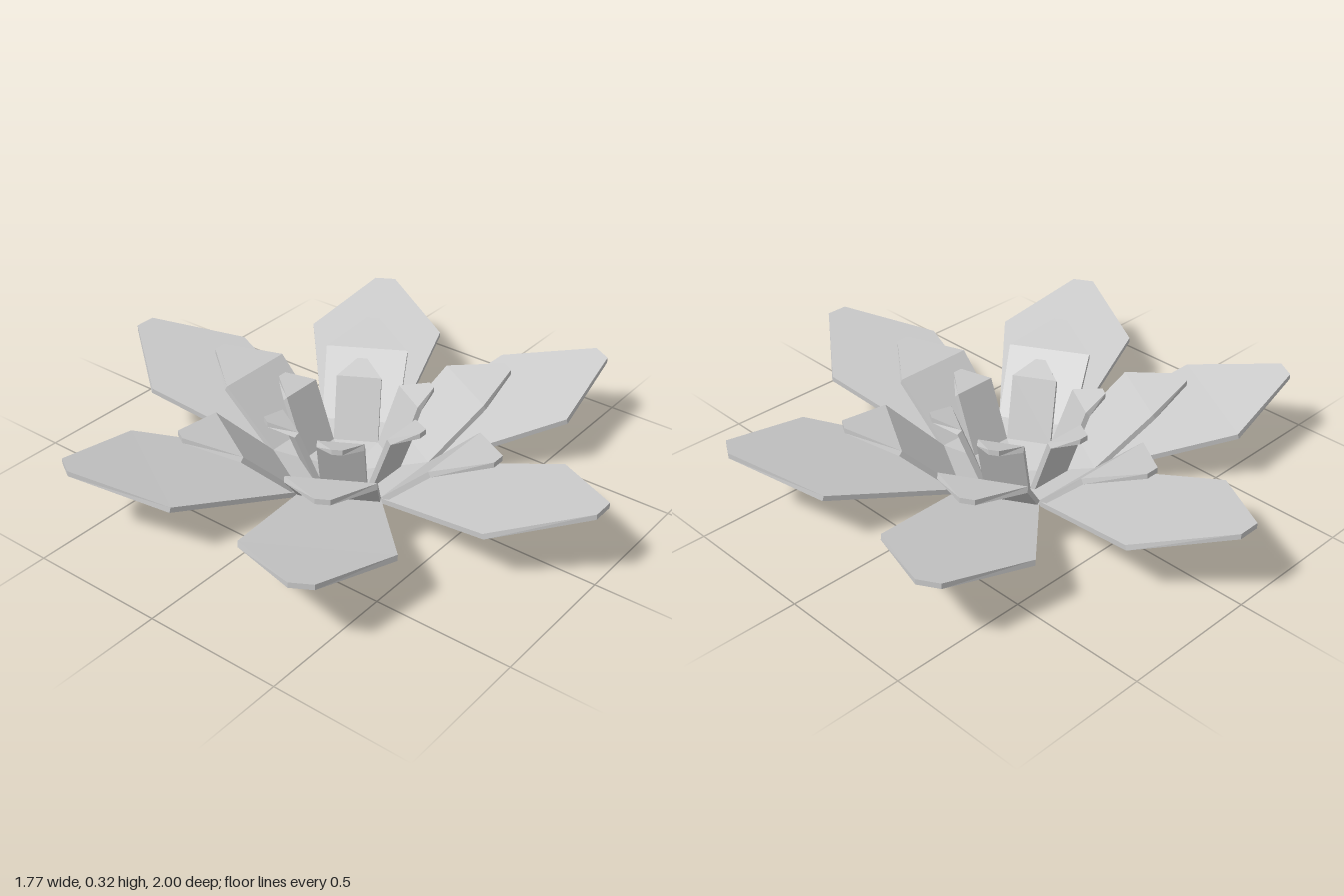
import * as THREE from 'three';

const THICKNESS = 0.02;

// Underside point of a profile: mitred offset at folds, straight down at both ends
function underside(profile, i) {
  const [r, , y] = profile[i];
  if (i === 0 || i === profile.length - 1) return [r, y - THICKNESS];
  const normal = (a, b) => new THREE.Vector2(a[2] - b[2], b[0] - a[0]).normalize();
  const n1 = normal(profile[i - 1], profile[i]);
  const n2 = normal(profile[i], profile[i + 1]);
  const m = n1.clone().add(n2).multiplyScalar(THICKNESS / (1 + n1.dot(n2)));
  return [r - m.x, y - m.y];
}

// Folded petal slab along +z; profile rows are [radius, half width, top height]
function petalGeometry(profile) {
  const rings = profile.map(([r, w, y], i) => {
    const [rb, yb] = underside(profile, i);
    return [[-w, y, r], [w, y, r], [w, yb, rb], [-w, yb, rb]];
  });
  const positions = [];
  const quad = (a, b, c, d) => positions.push(...a, ...b, ...c, ...a, ...c, ...d);
  for (let i = 0; i < rings.length - 1; i++) {
    for (let k = 0; k < 4; k++) {
      const n = (k + 1) % 4;
      quad(rings[i][k], rings[i + 1][k], rings[i + 1][n], rings[i][n]);
    }
  }
  const tip = rings[rings.length - 1];
  quad(tip[0], tip[3], tip[2], tip[1]);
  const geometry = new THREE.BufferGeometry();
  geometry.setAttribute('position', new THREE.Float32BufferAttribute(positions, 3));
  geometry.computeVertexNormals();
  return geometry;
}

export function createModel() {
  const model = new THREE.Group();
  model.name = 'flower';
  const material = new THREE.MeshStandardMaterial({ color: 0xcccccc, flatShading: true });

  // Three whorls of six petals, from the wide flat one to the steep inner cup
  const whorls = {
    outer: [[0, 0, 0.02], [0.24, 0.139, 0.087], [0.72, 0.25, 0.22], [1, 0.04, 0.3]],
    middle: [[0, 0, 0.023], [0.24, 0.139, 0.09], [0.44, 0.152, 0.285], [0.61, 0.025, 0.325]],
    inner: [[0, 0, 0.026], [0.14, 0.081, 0.065], [0.22, 0.081, 0.287], [0.31, 0.018, 0.314]],
  };
  for (const [name, profile] of Object.entries(whorls)) {
    const whorl = new THREE.Group();
    whorl.name = `${name}Petals`;
    const geometry = petalGeometry(profile);
    for (let i = 0; i < 6; i++) {
      const petal = new THREE.Mesh(geometry, material);
      petal.name = `${name}Petal${i + 1}`;
      petal.rotation.y = (i * Math.PI) / 3;
      whorl.add(petal);
    }
    model.add(whorl);
  }
  return model;
}
